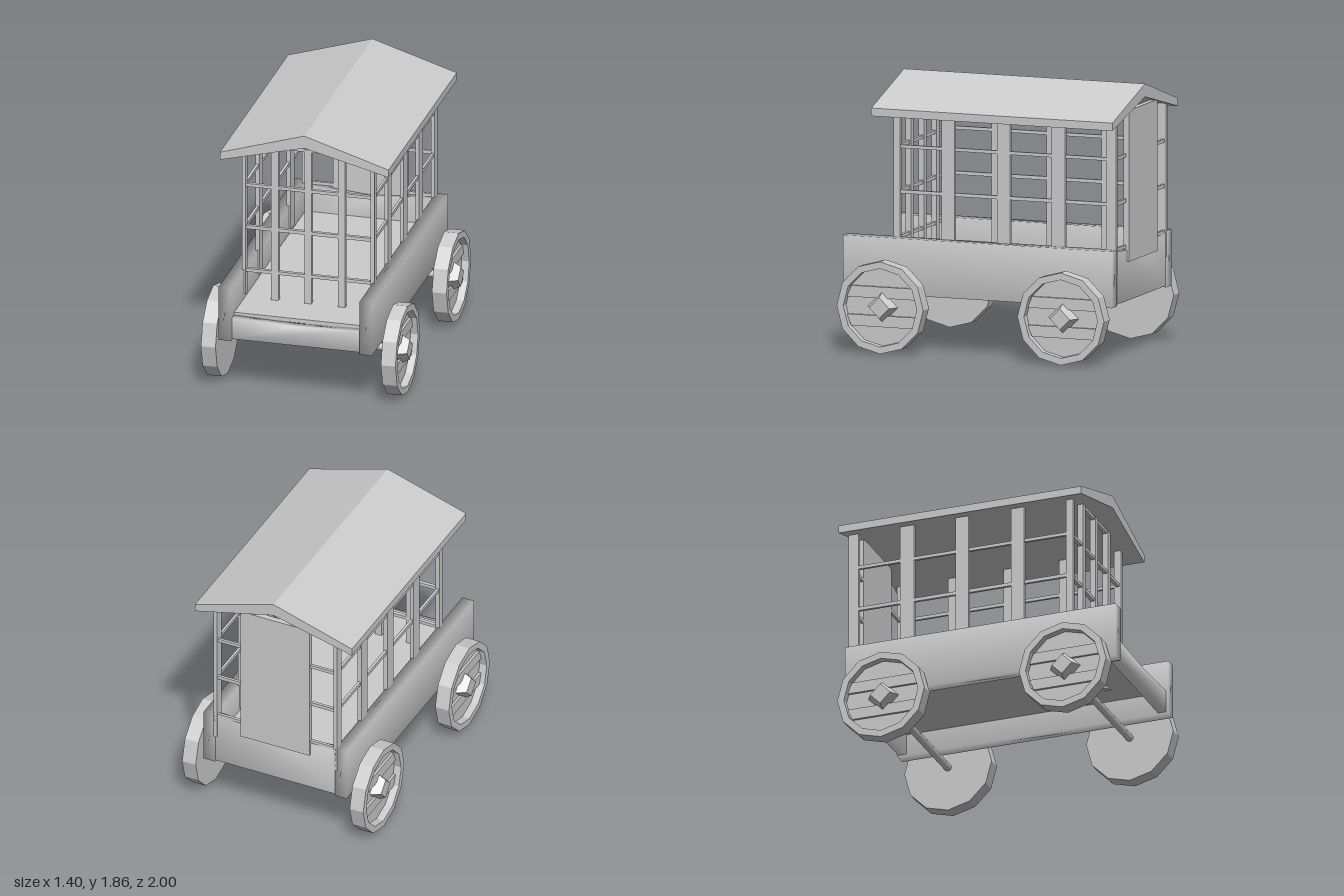
import * as THREE from 'three';
import { mergeVertices } from 'three/addons/utils/BufferGeometryUtils.js';

const CX = -0.015; // centre line of the cart body
const mat = new THREE.MeshStandardMaterial({ color: 0xcccccc });
const flat = new THREE.MeshStandardMaterial({ color: 0xcccccc, flatShading: true });

function add(parent, name, geometry, material = mat) {
  const m = new THREE.Mesh(geometry, material);
  m.name = name;
  parent.add(m);
  return m;
}

// Box given by its extents on each axis
function box(parent, name, [x0, x1], [y0, y1], [z0, z1]) {
  const g = new THREE.BoxGeometry(x1 - x0, y1 - y0, z1 - z0);
  g.translate((x0 + x1) / 2, (y0 + y1) / 2, (z0 + z1) / 2);
  return add(parent, name, g);
}

// Share corner normals so that a slab is shaded softly
function soften(g) {
  g.deleteAttribute('uv');
  g.deleteAttribute('normal');
  const s = mergeVertices(g);
  s.computeVertexNormals();
  return s;
}

// Flat outline in x-y, pushed along z
function extrude(points, z0, z1) {
  const s = new THREE.Shape(points.map(([x, y]) => new THREE.Vector2(x, y)));
  const g = new THREE.ExtrudeGeometry(s, { depth: z1 - z0, bevelEnabled: false });
  return g.translate(0, 0, z0);
}

function polygon(Type, r, n) {
  const p = new Type();
  for (let i = 0; i < n; i++) {
    const a = (i / n) * Math.PI * 2;
    if (i) p.lineTo(r * Math.cos(a), r * Math.sin(a));
    else p.moveTo(r, 0);
  }
  p.closePath();
  return p;
}

// Wheel lies in x-y with its outer face towards +z
function createWheel() {
  const wheel = new THREE.Group();
  wheel.name = 'wheel';
  const rim = polygon(THREE.Shape, 0.318, 12);
  rim.holes.push(polygon(THREE.Path, 0.27, 12));
  add(wheel, 'rim', new THREE.ExtrudeGeometry(rim, { depth: 0.103, bevelEnabled: false }), flat);
  add(wheel, 'wheelDisc', new THREE.ExtrudeGeometry(polygon(THREE.Shape, 0.272, 12),
    { depth: 0.05, bevelEnabled: false }), flat);
  for (const s of [-1, 1]) {
    // Raised planks, trimmed to the inside of the rim
    const plank = extrude([[-0.255, s * 0.06], [0.255, s * 0.06], [0.225, s * 0.138], [-0.225, s * 0.138]], 0.045, 0.068);
    add(wheel, 'wheelPlank', plank, flat);
  }
  const hub = new THREE.CylinderGeometry(0.073, 0.11, 0.068, 4);
  hub.rotateX(Math.PI / 2).translate(0, 0, 0.084);
  add(wheel, 'hub', hub, flat);
  return wheel;
}

export function createModel() {
  const model = new THREE.Group();
  model.name = 'wagon';

  // Cart body
  const body = new THREE.Group();
  body.name = 'body';
  model.add(body);
  const across = [-0.465, 0.445];
  for (const s of [-1, 1]) {
    const side = box(body, 'sideBoard', [CX + s * 0.497 - 0.044, CX + s * 0.497 + 0.044], [0.39, 0.78], [-0.975, 1]);
    side.geometry = soften(side.geometry);
  }
  box(body, 'floor', across, [0.545, 0.575], [-0.95, 0.93]);
  const board = (name, edge, mid, z0, z1) => add(body, name, soften(extrude(
    [[across[0], 0.4], [across[1], 0.4], [across[1], edge], [CX, mid], [across[0], edge]], z0, z1)));
  board('frontBoard', 0.555, 0.54, 0.925, 0.985);
  board('backBoard', 0.765, 0.73, -0.97, -0.91);

  // Cage walls
  const cage = new THREE.Group();
  cage.name = 'cage';
  model.add(cage);
  const rails = [[1.39, 1.413], [1.078, 1.103]];
  const planks = [[0.61, 0.66], [0.21, 0.305], [-0.195, -0.1], [-0.6, -0.5], [-0.95, -0.905]];
  for (const x of [[-0.485, -0.457], [0.424, 0.45]]) {
    for (const z of planks) box(cage, 'sidePost', x, [0.6, 1.665], z);
    box(cage, 'backCornerPost', x, [0.6, 1.665], [-0.975, -0.95]);
    for (const y of rails) box(cage, 'sideRail', [x[0] + 0.004, x[1] - 0.004], y, [-0.95, 0.65]);
  }
  for (const x of [[-0.28, -0.228], [-0.045, 0.005], [0.194, 0.243]])
    box(cage, 'frontPost', x, [0.53, 1.71], [0.615, 0.655]);
  for (const y of [...rails, [0.762, 0.785]]) {
    box(cage, 'frontRail', [-0.48, 0.445], y, [0.622, 0.648]);
    box(cage, 'backRail', [-0.48, 0.445], y, [-0.965, -0.945]);
  }
  box(cage, 'frontTopRail', [-0.28, 0.243], [1.69, 1.713], [0.622, 0.648]);
  box(cage, 'backDoor', [-0.28, 0.243], [0.67, 1.713], [-0.985, -0.945]);

  // Gabled roof slab
  add(model, 'roof', extrude([[-0.61, 1.62], [CX, 1.77], [0.58, 1.62], [0.58, 1.675],
    [CX, 1.86], [-0.61, 1.675]], -1, 0.77));

  // Wheels and slightly tilted axles
  for (const z of [0.663, -0.663]) {
    const axle = add(model, 'axle', new THREE.CylinderGeometry(0.027, 0.027, 1.22, 8));
    axle.position.set(0, 0.316, z);
    axle.rotation.z = Math.PI / 2 + 0.007;
    for (const s of [-1, 1]) {
      const wheel = createWheel();
      wheel.position.set(s * 0.583, 0.32, z);
      wheel.rotation.y = s * Math.PI / 2;
      model.add(wheel);
    }
  }
  return model;
}
